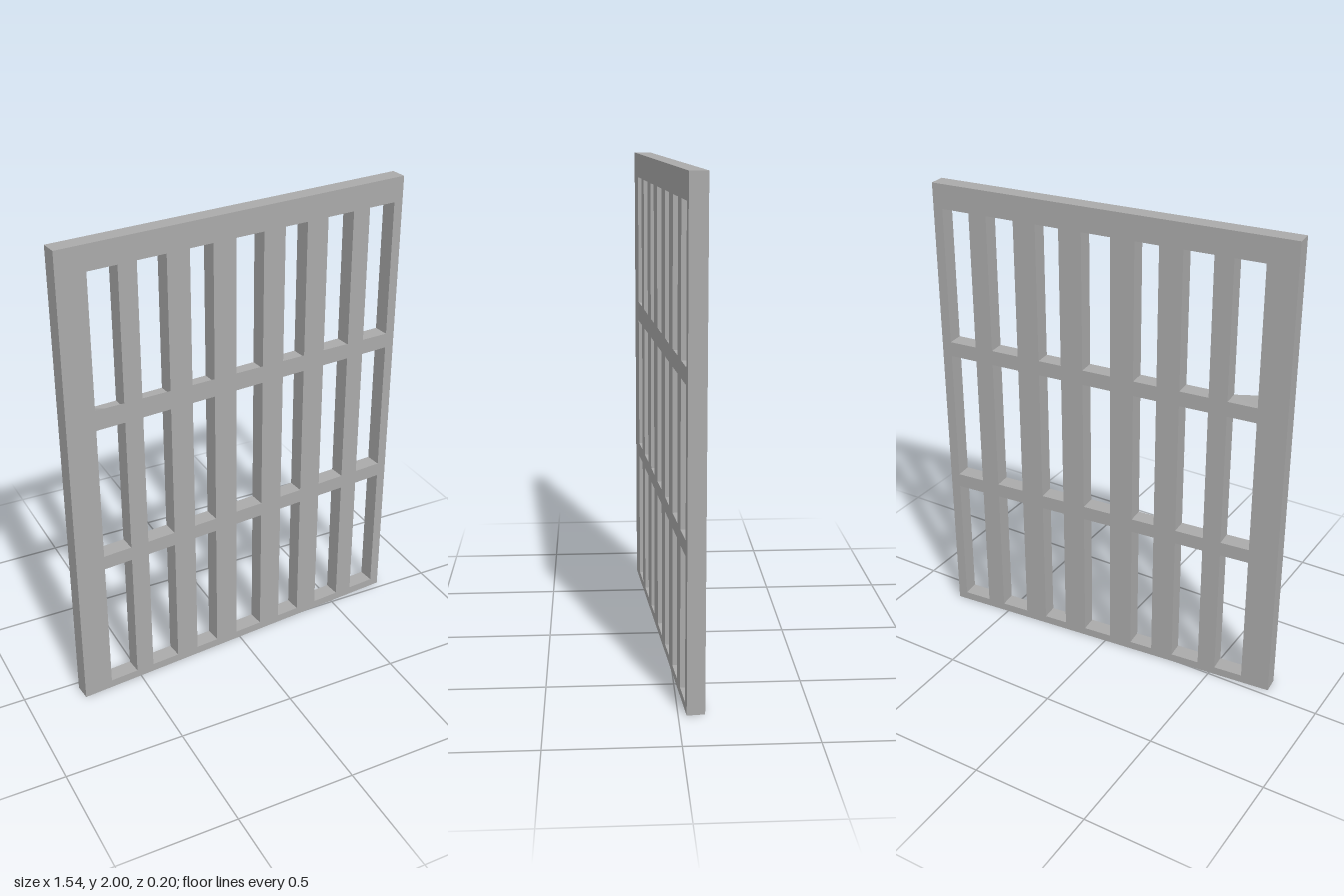
import * as THREE from 'three';

const WIDTH = 1.536, HEIGHT = 2, DEPTH = 0.07;
const ANGLE = THREE.MathUtils.degToRad(5);

// Window openings: horizontal and vertical extents
const COLUMNS = [
  [-0.645, -0.522], [-0.444, -0.321], [-0.223, -0.122], [-0.021, 0.104],
  [0.202, 0.305], [0.403, 0.526], [0.605, 0.727],
];
const ROWS = [[0.035, 0.613], [0.674, 1.252], [1.316, 1.897]];

function rectangle(path, x0, y0, x1, y1) {
  path.moveTo(x0, y0);
  path.lineTo(x1, y0);
  path.lineTo(x1, y1);
  path.lineTo(x0, y1);
  path.closePath();
  return path;
}

export function createModel() {
  const group = new THREE.Group();
  group.name = 'latticePanel';
  const grey = new THREE.MeshStandardMaterial({ color: 0xaaaaaa });
  grey.name = 'grey';

  // Flat slab pierced by a grid of openings
  const shape = rectangle(new THREE.Shape(), -WIDTH / 2, 0, WIDTH / 2, HEIGHT);
  for (const [x0, x1] of COLUMNS) {
    for (const [y0, y1] of ROWS) {
      shape.holes.push(rectangle(new THREE.Path(), x0, y0, x1, y1));
    }
  }
  const geometry = new THREE.ExtrudeGeometry(shape, { depth: DEPTH, bevelEnabled: false });
  geometry.translate(0, 0, -DEPTH / 2);

  // Raised front corner on the sill of the upper left opening
  const p = geometry.attributes.position;
  for (let i = 0; i < p.count; i++) {
    const atCorner = Math.abs(p.getX(i) - COLUMNS[0][0]) < 1e-4
      && Math.abs(p.getY(i) - ROWS[2][0]) < 1e-4;
    if (atCorner && p.getZ(i) > 0) p.setY(i, 1.338);
  }
  geometry.computeVertexNormals();

  const panel = new THREE.Mesh(geometry, grey);
  panel.name = 'windowLattice';
  panel.rotation.y = ANGLE;
  group.add(panel);
  return group;
}
